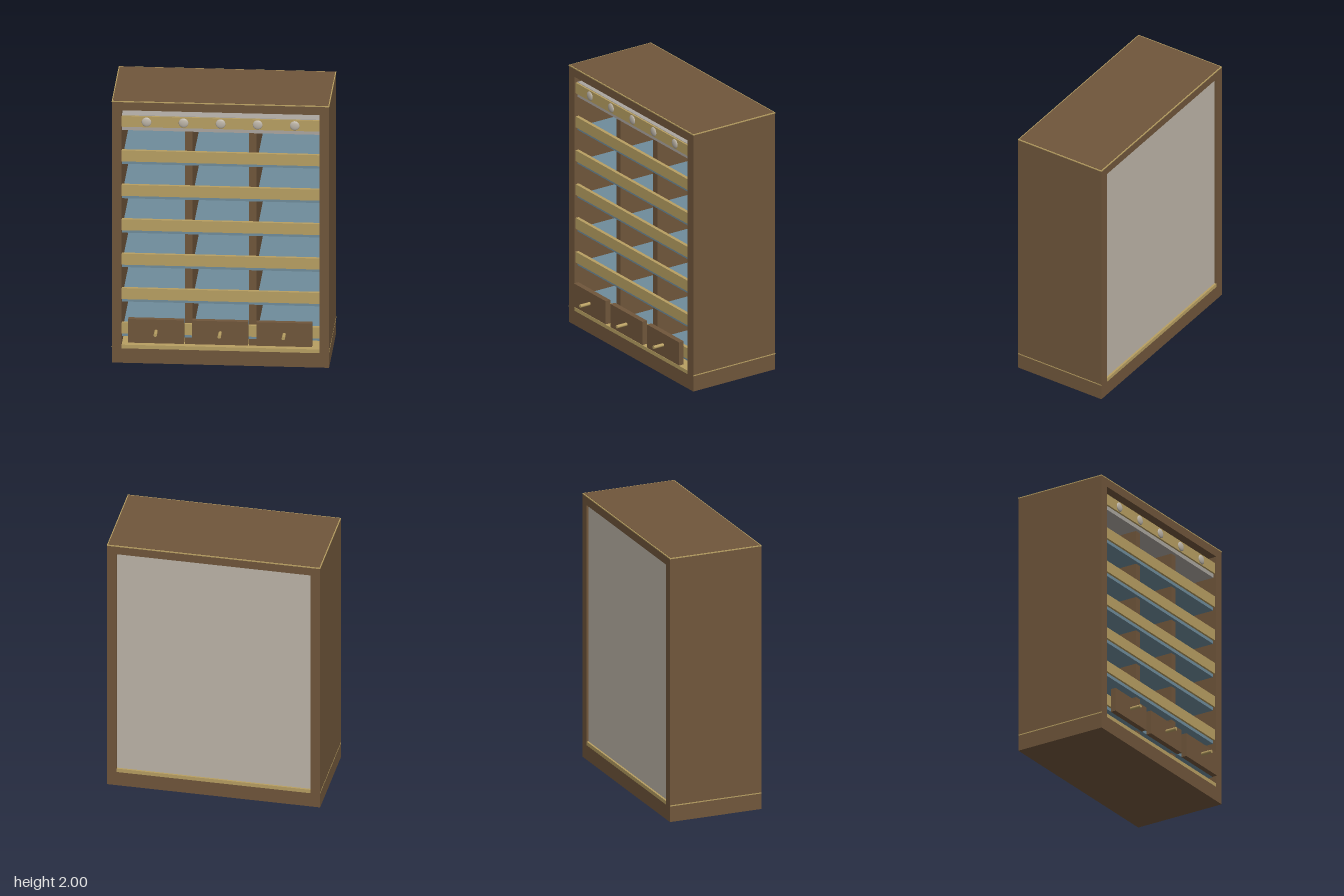
import * as THREE from 'three';

const mat = (name, color) => {
  const m = new THREE.MeshStandardMaterial({ color });
  m.name = name;
  return m;
};

export function createModel() {
  const wood = mat('walnut', 0x70563b);
  const gold = mat('brass', 0xb89f62);
  const glass = mat('blue shelf', 0x6f8c9b);
  const pale = mat('pale panel', 0xbdb5a8);
  const rail = mat('grey rail', 0xaba69f);
  const root = new THREE.Group();
  root.name = 'displayCabinet';

  // Box given by its minimum and maximum on each axis
  const box = (name, material, x0, x1, y0, y1, z0, z1) => {
    const mesh = new THREE.Mesh(new THREE.BoxGeometry(x1 - x0, y1 - y0, z1 - z0), material);
    mesh.position.set((x0 + x1) / 2, (y0 + y1) / 2, (z0 + z1) / 2);
    mesh.name = name;
    root.add(mesh);
    return mesh;
  };

  const W = 0.78, IN = 0.71, BACK = -0.42, FRONT = 0.295;

  // Carcass
  box('plinth', wood, -W, W, 0, 0.11, BACK, FRONT);
  box('baseLedge', gold, -IN, IN, 0.11, 0.138, BACK, FRONT);
  box('topBoard', wood, -W, W, 1.93, 1.992, BACK, FRONT);
  box('topTrim', gold, -W - 0.001, W + 0.001, 1.992, 1.999, BACK - 0.001, FRONT + 0.001);
  box('topCover', wood, -W + 0.006, W - 0.006, 1.993, 2, BACK + 0.006, FRONT - 0.006);
  box('backPanel', pale, -IN, IN, 0.138, 1.93, -0.405, -0.385);
  for (const s of [-1, 1]) {
    const a = s < 0 ? -W : IN, b = s < 0 ? -IN : W;
    box('sidePanel', wood, a, b, 0.11, 1.93, BACK, FRONT);
    box('sideTrim', gold, s * W - 0.001, s * W + 0.001, 0.118, 0.126, BACK, FRONT);
    box('divider', wood, s * 0.23 - 0.027, s * 0.23 + 0.027, 0.138, 1.77, -0.385, 0.245);
  }

  // Shelves, each with a front lip
  for (let i = 0; i < 6; i++) {
    const y = 0.195 + i * 0.2632;
    box('shelf', glass, -IN, IN, y, y + 0.024, -0.385, 0.268);
    box('shelfLip', gold, -IN, IN, y + 0.024, y + 0.108, 0.258, 0.284);
  }

  // Header with a row of round lamps
  box('header', rail, -IN, IN, 1.77, 1.885, -0.385, 0.27);
  box('headerStrip', gold, -IN, IN, 1.8, 1.882, 0.26, 0.284);
  const lampGeo = new THREE.SphereGeometry(0.035, 24, 16);
  for (let i = -2; i <= 2; i++) {
    const lamp = new THREE.Mesh(lampGeo, pale);
    lamp.position.set(i * 0.266, 1.84, 0.284);
    lamp.scale.z = 0.3;
    lamp.name = 'lamp';
    root.add(lamp);
  }

  // Drawer fronts with rod handles
  const rodGeo = new THREE.CylinderGeometry(0.0125, 0.0125, 0.09, 16).rotateX(Math.PI / 2);
  for (const x of [-0.46, 0, 0.46]) {
    box('drawerFront', wood, x - 0.2, x + 0.2, 0.17, 0.35, FRONT, 0.335);
    const rod = new THREE.Mesh(rodGeo, gold);
    rod.position.set(x, 0.262, 0.375);
    rod.name = 'drawerHandle';
    root.add(rod);
  }
  return root;
}
